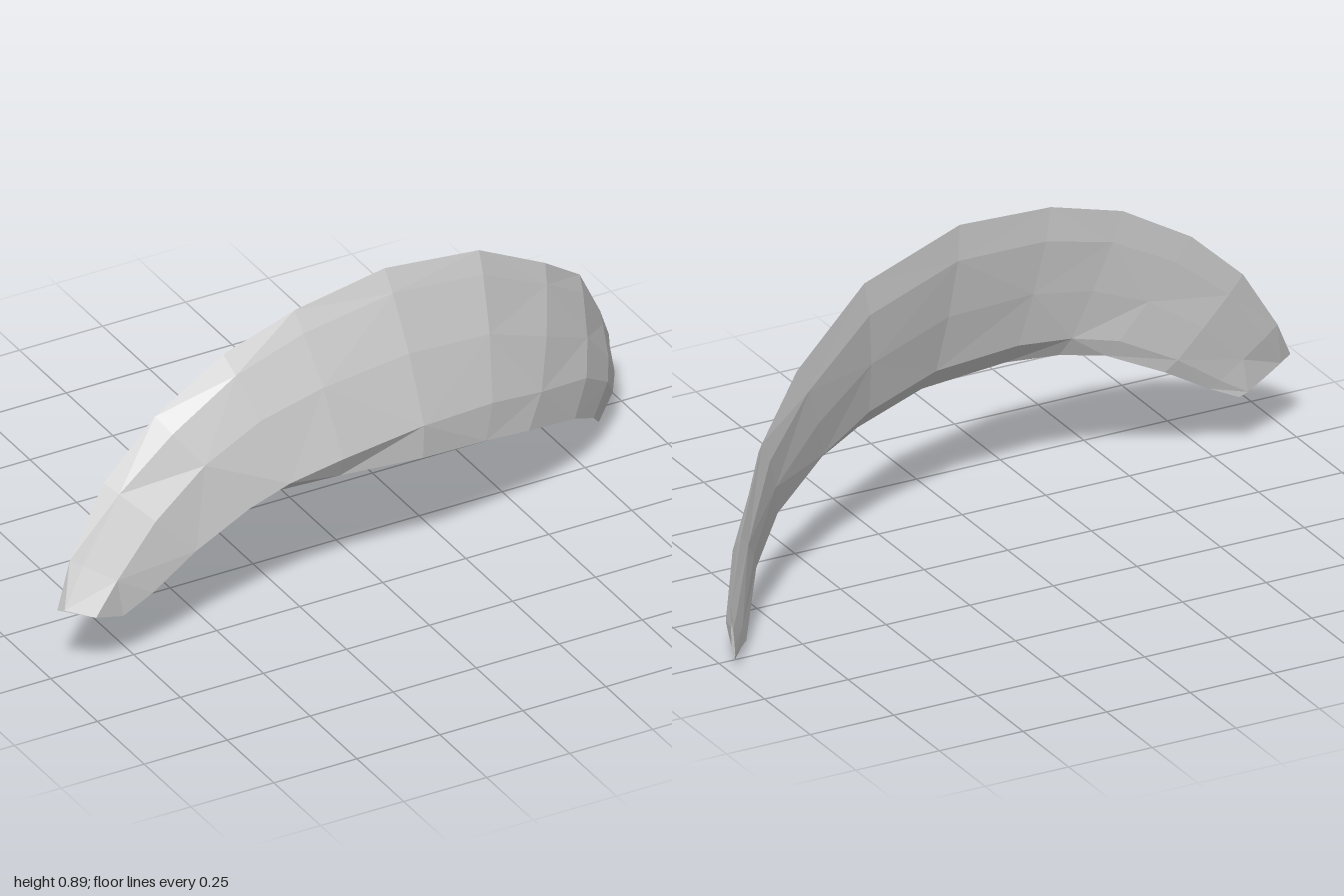
import * as THREE from 'three';

// Stations from the right end to the left end of the arch: top edge xyz, bottom
// edge xyz, front bulge, back bulge, top ledge width, height of the lower front crease
const stations = [
  [-1.0, 0.23, 0.285, -0.82, 0.165, 0.235, 0.07, 0.006, 0.005, 0.94],
  [-0.94, 0.345, 0.245, -0.73, 0.21, 0.235, 0.08, 0.008, 0.02, 0.93],
  [-0.82, 0.53, 0.213, -0.59, 0.295, 0.22, 0.098, 0.01, 0.03, 0.93],
  [-0.66, 0.68, 0.202, -0.42, 0.375, 0.238, 0.086, 0.015, 0.045, 0.93],
  [-0.45, 0.805, 0.195, -0.3, 0.39, 0.27, 0.064, 0.025, 0.03, 0.88],
  [-0.23, 0.87, 0.185, -0.15, 0.395, 0.288, 0.052, 0.035, 0.02, 0.85],
  [0.06, 0.897, 0.153, 0.1, 0.375, 0.288, 0.038, 0.04, 0.015, 0.8],
  [0.38, 0.825, 0.09, 0.32, 0.335, 0.235, 0.03, 0.04, 0.012, 0.78],
  [0.63, 0.665, 0.0, 0.48, 0.29, 0.18, 0.028, 0.04, 0.012, 0.75],
  [0.79, 0.53, -0.1, 0.68, 0.21, 0.07, 0.03, 0.032, 0.012, 0.7],
  [0.91, 0.33, -0.205, 0.79, 0.13, -0.025, 0.032, 0.025, 0.01, 0.65],
  [0.985, 0.19, -0.29, 0.895, 0.003, -0.185, 0.028, 0.015, 0.005, 0.65],
  [1.0, 0.15, -0.32, 0.99, 0.035, -0.315, 0.004, 0.004, 0.002, 0.65],
];

// One closed cross-section: top, down the front, bottom, up the back
function crossSection(i) {
  const [tx, ty, tz, bx, by, bz, front, back, ledge, crease] = stations[i];
  const top = new THREE.Vector3(tx, ty, tz);
  const bottom = new THREE.Vector3(bx, by, bz);
  const p = stations[Math.max(i - 1, 0)];
  const q = stations[Math.min(i + 1, stations.length - 1)];
  const normal = new THREE.Vector3(
    -(q[2] + q[5] - p[2] - p[5]), 0, q[0] + q[3] - p[0] - p[3]).normalize();
  const at = (t, offset) => top.clone().lerp(bottom, t).addScaledVector(normal, offset);
  return [
    top, at(0.12, ledge), at(0.42, front * 0.95), at(crease, front),
    bottom, at(0.86, -back), at(0.53, -back), at(0.2, -back * 0.65),
  ];
}

// Faceted skin through all sections, closed at both ends
function loft(rings) {
  const n = rings[0].length;
  const last = rings.length - 1;
  const index = [];
  for (let i = 0; i < last; i++) {
    for (let j = 0; j < n; j++) {
      const k = (j + 1) % n;
      const a = i * n + j, b = i * n + k, c = (i + 1) * n + k, d = (i + 1) * n + j;
      if ((i + j) % 2) index.push(a, b, c, a, c, d);
      else index.push(a, b, d, b, c, d);
    }
  }
  for (let j = 1; j < n - 1; j++) {
    index.push(0, j + 1, j);
    index.push(last * n, last * n + j, last * n + j + 1);
  }
  const geometry = new THREE.BufferGeometry().setFromPoints(rings.flat());
  geometry.setIndex(index);
  const faceted = geometry.toNonIndexed();
  faceted.computeVertexNormals();
  return faceted;
}

export function createModel() {
  const group = new THREE.Group();
  group.name = 'curvedArch';
  const paleGrey = new THREE.MeshStandardMaterial({ color: 0xcccccc });
  paleGrey.name = 'pale grey';
  const arch = new THREE.Mesh(loft(stations.map((_, i) => crossSection(i))), paleGrey);
  arch.name = 'archBody';
  group.add(arch);
  return group;
}
